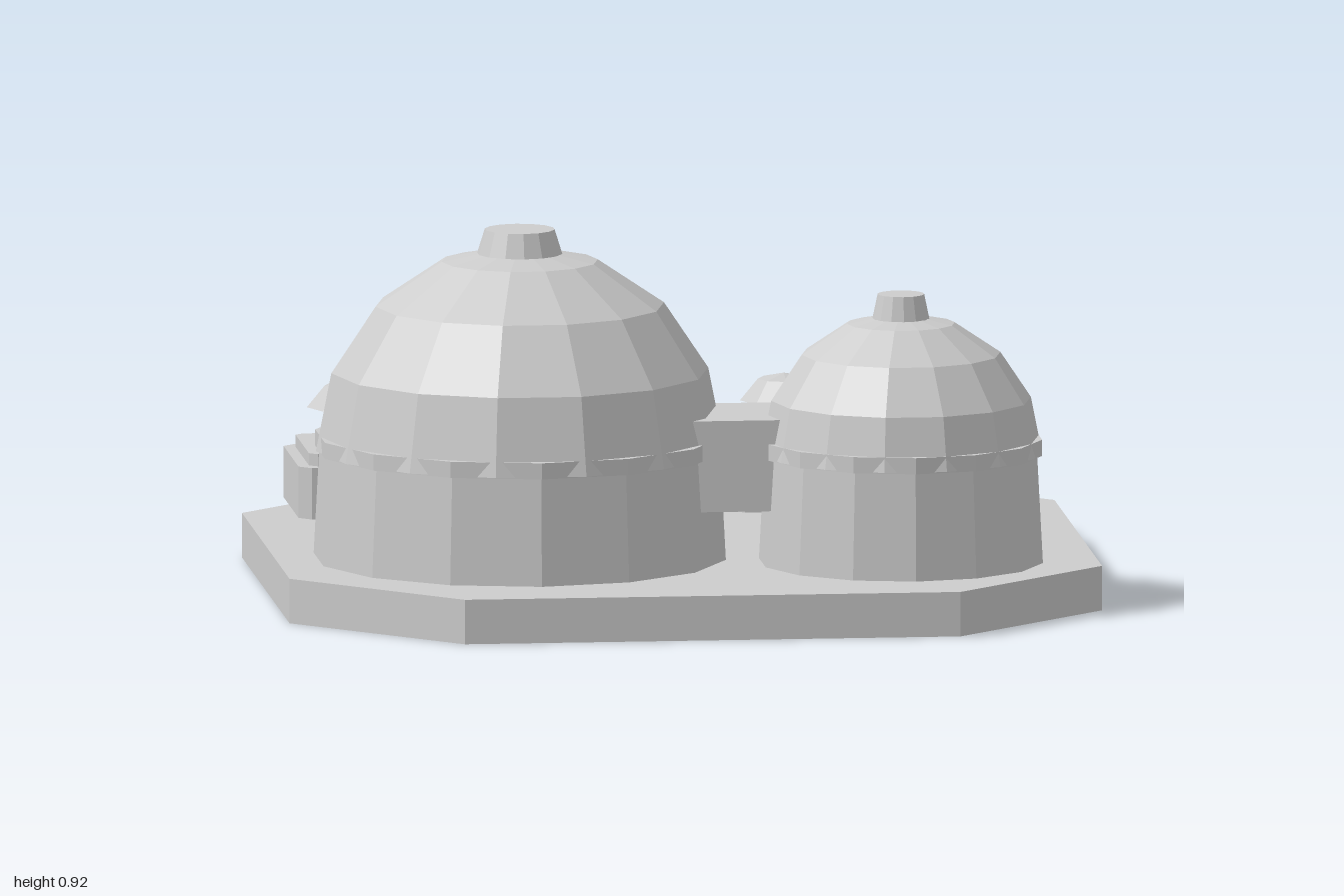
import * as THREE from 'three';

const grey = new THREE.MeshStandardMaterial({ color: 0xcccccc, flatShading: true, side: THREE.DoubleSide });
grey.name = 'plain grey';

function add(parent, name, geometry, x = 0, y = 0, z = 0) {
  const mesh = new THREE.Mesh(geometry, grey);
  mesh.name = name;
  mesh.position.set(x, y, z);
  parent.add(mesh);
  return mesh;
}

const toShape = (points) => new THREE.Shape(points.map(([x, y]) => new THREE.Vector2(x, y)));

// Outline in x/y pushed along +z
function prism(points, depth) {
  return new THREE.ExtrudeGeometry(toShape(points), { depth, bevelEnabled: false });
}

// Rectangle with cut corners, counter-clockwise
function cutRectangle(w, d, c) {
  const a = w / 2, b = d / 2;
  return [[a, b - c], [a - c, b], [c - a, b], [-a, b - c],
    [-a, c - b], [c - a, -b], [a - c, -b], [a, c - b]];
}

// Block with cut corners, standing on y = 0
function cutBox(w, d, h, c) {
  return prism(cutRectangle(w, d, c), h).rotateX(-Math.PI / 2);
}

// Ground slab: a hollow shell, open underneath
function base(w, d, h, c) {
  const g = new THREE.Group();
  g.name = 'base';
  const outline = cutRectangle(w, d, c);
  add(g, 'baseTop', new THREE.ShapeGeometry(toShape(outline)).rotateX(-Math.PI / 2), 0, h, 0);
  outline.forEach(([x0, y0], i) => {
    const [x1, y1] = outline[(i + 1) % outline.length];
    const dx = x1 - x0, dy = y1 - y0;
    const side = add(g, 'baseSide', new THREE.PlaneGeometry(Math.hypot(dx, dy), h),
      (x0 + x1) / 2, h / 2, -(y0 + y1) / 2);
    side.rotation.y = Math.atan2(dy, dx);
  });
  return g;
}

// Round building: wall, band, faceted dome and roof cap
function domeBuilding(name, x, z, wall, r, capR, capY) {
  const g = new THREE.Group();
  g.name = name;
  g.position.set(x, 0, z);
  add(g, 'wall', new THREE.CylinderGeometry(wall - 0.015, wall, 0.282, 14), 0, 0.249, 0);
  add(g, 'band', new THREE.CylinderGeometry(r + 0.002, r + 0.002, 0.04, 14), 0, 0.395, 0);
  add(g, 'dome', new THREE.SphereGeometry(r, 14, 4, 0, Math.PI * 2, 0, Math.PI / 2), 0, 0.378, 0);
  add(g, 'roofCap', new THREE.CylinderGeometry(capR * 0.82, capR, 0.06, 14), 0, capY - 0.03, 0);
  return g;
}

// Planter with a small parasol-shaped tree
function planter(x) {
  const g = new THREE.Group();
  g.name = 'planter';
  g.position.set(x, 0.11, -0.62);
  add(g, 'planterBox', cutBox(0.29, 0.402, 0.127, 0.03));
  add(g, 'planterTop', cutBox(0.235, 0.345, 0.03, 0.02), 0, 0.127, 0);
  add(g, 'stem', new THREE.CylinderGeometry(0.023, 0.032, 0.12, 8), 0, 0.21, 0.015);
  const crown = [[0, 0.25], [0.108, 0.25], [0.064, 0.303], [0, 0.317]].map(([r, y]) => new THREE.Vector2(r, y));
  add(g, 'crown', new THREE.LatheGeometry(crown, 8), 0, 0, 0.015);
  return g;
}

// Entrance hall with roof and arched doorway, facing the back
function entrance() {
  const g = new THREE.Group();
  g.name = 'entrance';
  g.position.set(-0.353, 0, 0);
  add(g, 'hall', new THREE.BoxGeometry(0.54, 0.32, 0.485), 0, 0.27, -0.2425);
  const roof = [[-0.326, 0.43], [0.326, 0.43], [0.303, 0.49], [0.175, 0.56], [-0.175, 0.56], [-0.303, 0.49]];
  add(g, 'roof', prism(roof, 0.545), 0, 0, -0.545);

  // Chevron trim on the gable
  const chevron = [[0, 0.45], [0.072, 0.548], [0.045, 0.548], [0, 0.487], [-0.045, 0.548], [-0.072, 0.548]];
  add(g, 'gableTrim', prism(chevron, 0.014), 0, 0, -0.557);

  // Door frame around an open arch
  const frame = [[-0.157, 0.11], [-0.1, 0.11], [-0.1, 0.275], [-0.06, 0.325], [0.06, 0.325],
    [0.1, 0.275], [0.1, 0.11], [0.157, 0.11], [0.157, 0.285], [0.085, 0.37], [-0.085, 0.37], [-0.157, 0.285]];
  add(g, 'doorFrame', prism(frame, 0.11), 0, 0, -0.572);

  // Double door
  for (const s of [-1, 1]) {
    const leaf = [[0.004, 0.11], [0.1, 0.11], [0.1, 0.275], [0.06, 0.325], [0.004, 0.325]]
      .map(([x, y]) => [x * s, y]);
    add(g, 'doorLeaf', prism(leaf, 0.09), 0, 0, -0.555);
    add(g, 'doorPanel', new THREE.BoxGeometry(0.06, 0.16, 0.04), s * 0.05, 0.2, -0.57);
    add(g, 'doorHandle', new THREE.BoxGeometry(0.014, 0.06, 0.025), s * 0.028, 0.2, -0.597);
  }
  return g;
}

export function createModel() {
  const model = new THREE.Group();
  model.name = 'domeSettlement';

  model.add(base(2, 1.87, 0.11, 0.39));
  model.add(domeBuilding('largeDome', -0.4, 0.235, 0.508, 0.502, 0.105, 0.92));
  model.add(domeBuilding('smallDome', 0.52, 0.405, 0.35, 0.346, 0.07, 0.77));
  // Raised passage between the domes
  add(model, 'passage', new THREE.BoxGeometry(0.4, 0.225, 0.295), 0.12, 0.3625, 0.343);
  model.add(entrance());
  for (const x of [-0.726, 0.34, 0.682]) model.add(planter(x));

  return model;
}
